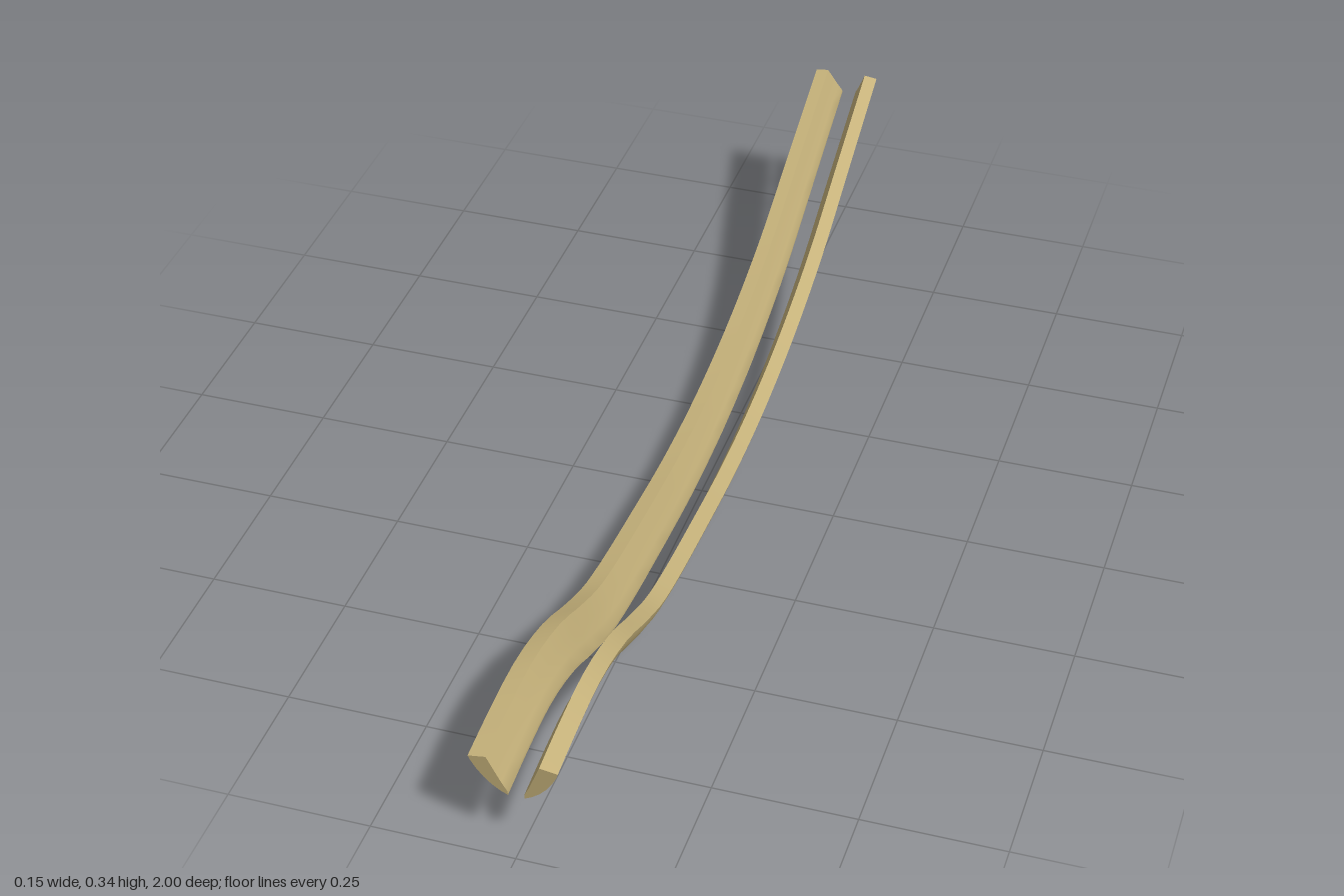
import * as THREE from 'three';
import { toCreasedNormals } from 'three/addons/utils/BufferGeometryUtils.js';

// Lower edge of the rail, front to back: [z, y]
const PATH = [
  [0.985, 0.125], [0.9, 0.136], [0.78, 0.142], [0.67, 0.12], [0.58, 0.083], [0.48, 0.047], [0.39, 0.03],
  [0.2, 0.013], [0, 0.003], [-0.2, 0.013], [-0.4, 0.046], [-0.6, 0.104], [-0.8, 0.19], [-1, 0.277],
];

// Cross-section, counter-clockwise: [share of width, share of height]
const SECTION = [
  [0, 0], [0.2, 0.085], [0.42, 0.22], [0.63, 0.4], [0.82, 0.62], [0.95, 0.82], [1, 0.93], // rounded outside
  [0.5, 1], [0.3, 0.62], [0.15, 0.34], [0, 0.1], // flat top edge, hollowed inside
];

const STEPS = 52;
const INNER_X = 0.014;

// Sweep the tapering section along the path; side is +1 (left) or -1 (right)
function railGeometry(side) {
  const curve = new THREE.CatmullRomCurve3(PATH.map(([z, y]) => new THREE.Vector3(0, y, z)));
  const n = SECTION.length;
  const positions = [];
  const index = [];
  const face = (a, b, c) => (side > 0 ? index.push(a, b, c) : index.push(a, c, b));

  for (let i = 0; i <= STEPS; i++) {
    const t = i / STEPS;
    const p = curve.getPointAt(t);
    const d = curve.getTangentAt(t);
    const width = THREE.MathUtils.lerp(0.061, 0.048, t);
    const height = THREE.MathUtils.lerp(0.083, 0.068, t);
    for (const [u, v] of SECTION) {
      positions.push(side * (INNER_X + u * width), p.y - d.z * v * height, p.z + d.y * v * height);
    }
  }
  for (let i = 0; i < STEPS; i++) {
    for (let j = 0; j < n; j++) {
      const k = (j + 1) % n;
      const a = i * n + j, b = i * n + k, c = a + n, e = b + n;
      face(a, c, e);
      face(a, e, b);
    }
  }
  // End caps
  const outline = SECTION.map(([u, v]) => new THREE.Vector2(u, v));
  const last = STEPS * n;
  for (const [a, b, c] of THREE.ShapeUtils.triangulateShape(outline, [])) {
    face(a, b, c);
    face(last + a, last + c, last + b);
  }

  const geometry = new THREE.BufferGeometry();
  geometry.setAttribute('position', new THREE.Float32BufferAttribute(positions, 3));
  geometry.setIndex(index);
  return toCreasedNormals(geometry, THREE.MathUtils.degToRad(35));
}

export function createModel() {
  const group = new THREE.Group();
  group.name = 'curvedRailPair';
  const tan = new THREE.MeshStandardMaterial({ color: 0xc8b47c });
  tan.name = 'tan';

  for (const [name, side] of [['leftRail', 1], ['rightRail', -1]]) {
    const rail = new THREE.Mesh(railGeometry(side), tan);
    rail.name = name;
    group.add(rail);
  }
  return group;
}
